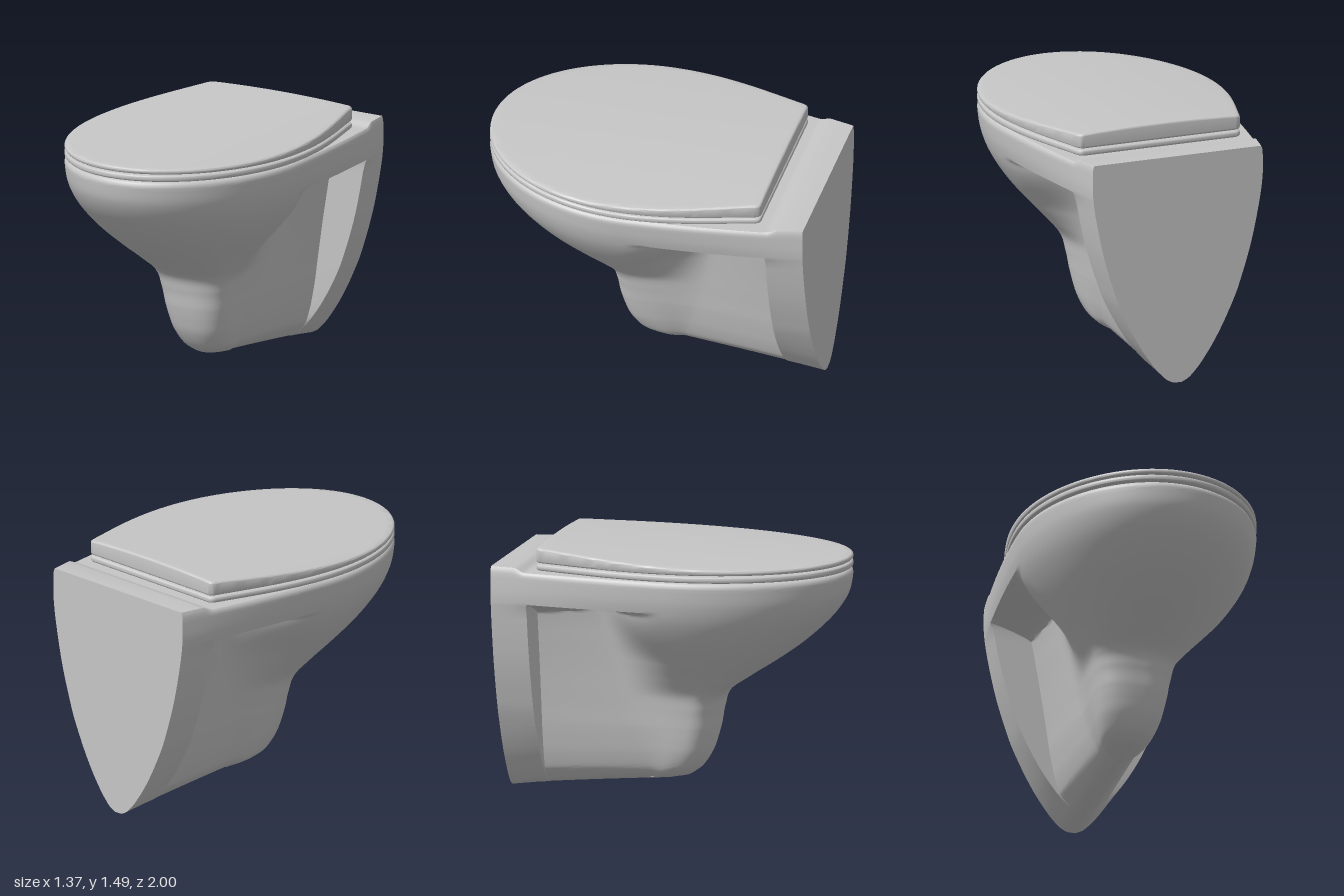
import * as THREE from 'three';
import { toCreasedNormals } from 'three/addons/utils/BufferGeometryUtils.js';

const { clamp, lerp, smoothstep } = THREE.MathUtils;

// Body profile from the foot up: height, front reach, bowl half-width, wall-plate half-width, waist half-width
const PROFILE = [
  [0, -0.05, 0.02, 0.025, 0.015],
  [0.02, 0.04, 0.075, 0.065, 0.055],
  [0.05, 0.085, 0.115, 0.098, 0.09],
  [0.1, 0.13, 0.147, 0.142, 0.12],
  [0.2, 0.178, 0.178, 0.212, 0.147],
  [0.3, 0.205, 0.196, 0.27, 0.165],
  [0.4, 0.225, 0.21, 0.32, 0.18],
  [0.5, 0.242, 0.225, 0.365, 0.192],
  [0.6, 0.28, 0.25, 0.4, 0.205],
  [0.7, 0.42, 0.33, 0.432, 0.218],
  [0.8, 0.575, 0.423, 0.46, 0.232],
  [0.9, 0.715, 0.512, 0.483, 0.247],
  [1.0, 0.83, 0.585, 0.503, 0.262],
  [1.1, 0.922, 0.64, 0.52, 0.28],
  [1.2, 0.98, 0.672, 0.53, 0.3],
  [1.3, 1.0, 0.685, 0.53, 0.32],
];

// Right half of one horizontal section, from the front tip round to the wall
function halfSection([y, reach, bowl, plate, waist]) {
  const points = [];
  const centre = Math.min(0.12, reach - 0.15);
  const waistZ = Math.min(-0.17 - 0.23 * y, centre - 0.03);
  const add = (x, z) => {
    const foot = 0.085 * clamp(z + 1, 0, 1) ** 0.8 * Math.max(0, 1 - y / 0.4);
    const deck = 0.025 * clamp((y - 1.3) / 0.035, 0, 1) * (1 - smoothstep(z, -0.86, -0.79));
    points.push([x, y + foot + deck, z]);
  };
  // Above the side recess the section follows the straight rim; the recess roof slopes down to the wall
  const addBack = (x, z) => {
    const u = clamp((centre - z) / (centre + 1), 0, 1);
    const roof = lerp(1.12, 1.06, clamp((-0.1 - z) / 0.68, 0, 1));
    const rimBlend = clamp((y - roof) / (1.15 - roof), 0, 1) ** 1.4;
    add(lerp(x, lerp(bowl, plate, u ** 1.5), rimBlend), z);
  };
  // Rounded front, squarer at the pedestal
  const power = lerp(0.8, 1, smoothstep(y, 0.5, 0.9));
  for (let i = 0; i <= 24; i++) {
    const a = (i / 24) * Math.PI / 2;
    add(bowl * Math.sin(a) ** power, centre + (reach - centre) * Math.max(0, Math.cos(a)) ** power);
  }
  // Narrowing to the waist, then an almost straight wall back to the plate
  const delay = lerp(1, 1.6, smoothstep(y, 0.8, 1.1));
  for (let i = 1; i <= 16; i++) {
    const u = i / 16;
    addBack(lerp(bowl, waist, (1 - Math.cos(Math.PI * u ** delay)) / 2), lerp(centre, waistZ, u));
  }
  const wallEnd = Math.min(waist * 1.16, plate * 0.97);
  for (let i = 1; i <= 10; i++) {
    const u = i / 10;
    addBack(lerp(waist, wallEnd, u), lerp(waistZ, -0.777, u));
  }
  // Wall plate with a flat front face
  for (const z of [-0.783, -0.8, -0.82, -0.84, -0.86, -1]) {
    addBack(plate * (1 + 0.2 * (z + 1)), z);
  }
  return points;
}

// Closed surface through a stack of equal rings, counter-clockwise from above
function skinRings(rings, index = []) {
  const n = rings[0].length;
  for (let j = 0; j < rings.length - 1; j++) {
    for (let i = 0; i < n; i++) {
      const a = j * n + i, b = j * n + (i + 1) % n;
      index.push(a, b, b + n, a, b + n, a + n);
    }
  }
  const geometry = new THREE.BufferGeometry();
  geometry.setAttribute('position', new THREE.Float32BufferAttribute(rings.flat(2), 3));
  geometry.setIndex(index);
  return toCreasedNormals(geometry, 0.6);
}

function bodyGeometry() {
  // Smooth the profile into many layers and round off the rim
  const curves = [1, 2, 3, 4].map(
    k => new THREE.SplineCurve(PROFILE.map(r => new THREE.Vector2(r[0], r[k]))));
  const layers = [];
  for (let i = 0; i <= 120; i++) {
    const p = curves.map(c => c.getPoint(i / 120));
    layers.push([p[0].x, ...p.map(v => v.y)]);
  }
  const rim = PROFILE[PROFILE.length - 1];
  for (const [y, inset] of [[1.315, 0.002], [1.327, 0.008], [1.335, 0.02]]) {
    layers.push([y, rim[1] - inset, rim[2] - inset, rim[3] - inset * 0.5, rim[4]]);
  }
  const halves = layers.map(halfSection);
  const rings = halves.map(
    half => [...half, ...half.slice(1).reverse().map(([x, y, z]) => [-x, y, z])]);

  // Top and underside, closed in strips from side to side
  const n = halves[0].length, ring = 2 * n - 1, top = (rings.length - 1) * ring;
  const caps = [];
  const quad = (a, b, c, d) => caps.push(a, b, c, a, c, d);
  for (let i = 0; i < n - 1; i++) {
    const l0 = (ring - i) % ring, l1 = ring - i - 1;
    quad(top + l0, top + i, top + i + 1, top + l1);
    quad(l1, i + 1, i, l0);
  }
  return skinRings(rings, caps);
}

// Outline shared by seat and lid: round front, tapering to a straight back
function seatOutline(inset) {
  const w = 0.685 - inset, b = 0.505 - inset, back = 0.74 - inset;
  const s = new THREE.Shape();
  s.moveTo(-b + 0.03, back);
  for (let i = 1; i <= 12; i++) s.lineTo((b - 0.03) * (i / 6 - 1), back);
  s.quadraticCurveTo(b - 0.003, back, b + 0.007, back - 0.04);
  s.bezierCurveTo(b + 0.085, 0.44, w, 0.19, w, -0.12);
  s.absellipse(0, -0.12, w, 0.88 - inset, 0, -Math.PI, true);
  s.bezierCurveTo(-w, 0.19, -b - 0.085, 0.44, -b - 0.007, back - 0.04);
  s.quadraticCurveTo(-b + 0.003, back, -b + 0.03, back);
  return s.getPoints(24).slice(0, -1).reverse();
}

// Slab with rounded edges; its upper face may rise towards the back and be crowned across
function slab(bottom, height, radius, rise = 0, crown = 0) {
  const rings = [];
  const addRing = (inset, scale, y, isTop) => rings.push(seatOutline(inset).map(p => {
    const x = p.x * scale, z = -p.y * scale;
    const lift = isTop ? rise * (1 - z) / 1.74 - crown * (x / 0.685) ** 2 : 0;
    return [x, y + lift, z];
  }));
  const inner = [0, 0.25, 0.5, 0.75, 0.96];
  for (const s of inner) addRing(radius, s, bottom, false);
  for (let i = 0; i <= 5; i++) {
    const a = (i / 5) * Math.PI / 2;
    addRing(radius * (1 - Math.sin(a)), 1, bottom + radius * (1 - Math.cos(a)), false);
  }
  for (let i = 0; i <= 5; i++) {
    const a = (i / 5) * Math.PI / 2;
    addRing(radius * (1 - Math.cos(a)), 1, bottom + height - radius * (1 - Math.sin(a)), true);
  }
  for (const s of inner.reverse()) addRing(radius, s, bottom + height, true);
  return skinRings(rings);
}

export function createModel() {
  const ceramic = new THREE.MeshStandardMaterial({ color: 0xc6c6c6 });
  ceramic.name = 'grey ceramic';

  const model = new THREE.Group();
  model.name = 'wallHungToilet';
  const add = (name, geometry) => {
    const mesh = new THREE.Mesh(geometry, ceramic);
    mesh.name = name;
    model.add(mesh);
  };

  add('bowlAndWallPlate', bodyGeometry());
  add('seat', slab(1.341, 0.037, 0.014));
  add('lid', slab(1.385, 0.031, 0.014, 0.07, 0.026));
  return model;
}
